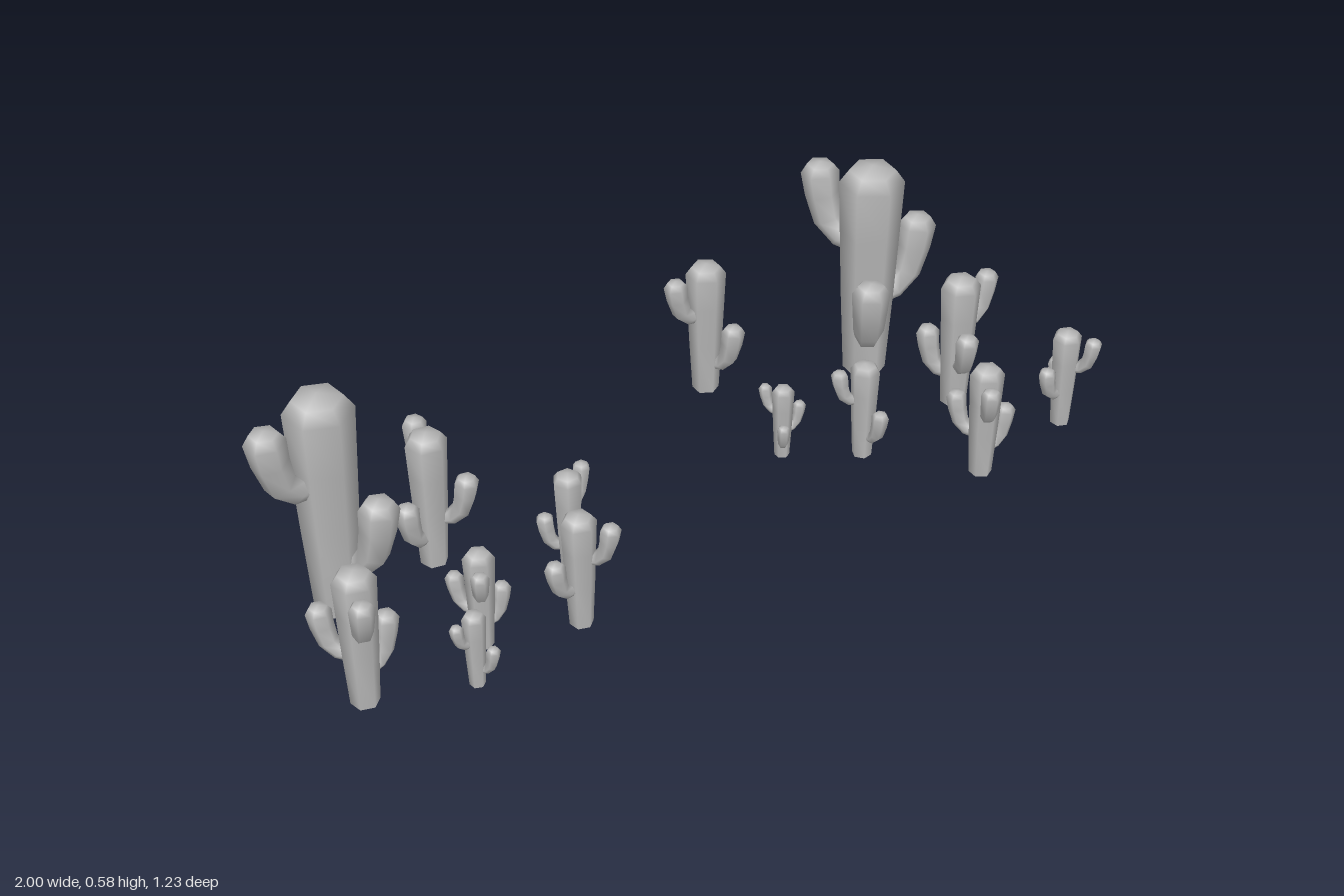
import * as THREE from 'three';
import { mergeVertices } from 'three/addons/utils/BufferGeometryUtils.js';

const SIDES = 6;

// Weld the lathe seam so the shading stays smooth all round
function smooth(geometry) {
  geometry.deleteAttribute('uv');
  geometry.deleteAttribute('normal');
  const welded = mergeVertices(geometry, 1e-5);
  welded.computeVertexNormals();
  return welded;
}

function lathe(points) {
  return new THREE.LatheGeometry(points.map(([r, y]) => new THREE.Vector2(r, y)), SIDES);
}

// Trunk: widens upwards and ends in a blunt dome
function trunkGeometry() {
  return smooth(lathe([[0.052, 0], [0.064, 0.22], [0.072, 0.4], [0.078, 0.535], [0.056, 0.567], [0, 0.58]]));
}

// Arm rows: distance from trunk axis, height below tip, radius
const ARM = [
  [0.03, -0.2, 0.024], [0.075, -0.188, 0.031], [0.112, -0.15, 0.037],
  [0.13, -0.085, 0.042], [0.138, -0.028, 0.046], [0.138, -0.007, 0.032], [0.138, 0, 0],
];

// Arm: a lathe whose rings are moved onto the upward-curving path
function armGeometry(reach, top) {
  const n = ARM.length;
  const path = ARM.map(([d, y]) => new THREE.Vector2(0.03 + (d - 0.03) * reach, top + y));
  const geometry = lathe(ARM.map(([, y, r]) => [r, y]));
  const pos = geometry.attributes.position;
  for (let i = 0; i < pos.count; i++) {
    const j = i % n;
    const t = path[Math.min(j + 1, n - 1)].clone().sub(path[Math.max(j - 1, 0)]).normalize();
    const across = pos.getX(i);
    pos.setXY(i, path[j].x + across * t.y, path[j].y - across * t.x);
  }
  return smooth(geometry);
}

// Each cactus: x, z, scale, heading of the tallest arm in degrees
const CACTI = [
  [-0.84, 0.166, 1, 148], [-0.615, 0.05, 0.62, 258], [-0.316, 0.123, 0.45, 307],
  [-0.32, 0.32, 0.52, 25], [-0.54, 0.353, 0.45, 94], [-0.567, 0.476, 0.34, 148],
  [-0.807, 0.487, 0.62, 84], [0.107, -0.49, 0.62, 157], [0.508, -0.503, 1, 220],
  [0.69, -0.326, 0.62, 331], [0.68, -0.043, 0.52, 98], [0.92, -0.198, 0.455, 28],
  [0.422, -0.16, 0.45, 177], [0.235, -0.19, 0.34, 218],
];

export function createModel() {
  const model = new THREE.Group();
  model.name = 'cactusField';
  const grey = new THREE.MeshStandardMaterial({ color: 0xb8b8b8 });
  grey.name = 'grey';

  const trunk = trunkGeometry();
  const base = new THREE.CircleGeometry(0.052, SIDES).rotateX(Math.PI / 2).rotateY(Math.PI / 6);
  const arms = [
    ['highArm', armGeometry(1, 0.55), 0],
    ['middleArm', armGeometry(1, 0.4), 120],
    ['lowArm', armGeometry(0.83, 0.325), 240],
  ];

  CACTI.forEach(([x, z, scale, heading], i) => {
    const cactus = new THREE.Group();
    cactus.name = `cactus${i + 1}`;
    const add = (name, geometry, angle = 0) => {
      const mesh = new THREE.Mesh(geometry, grey);
      mesh.name = name;
      mesh.rotation.y = -THREE.MathUtils.degToRad(angle);
      cactus.add(mesh);
    };
    add('trunk', trunk);
    add('trunkBase', base);
    for (const [name, geometry, angle] of arms) add(name, geometry, angle);
    cactus.position.set(x, 0, z);
    cactus.scale.setScalar(scale);
    cactus.rotation.y = -THREE.MathUtils.degToRad(heading);
    model.add(cactus);
  });
  return model;
}
